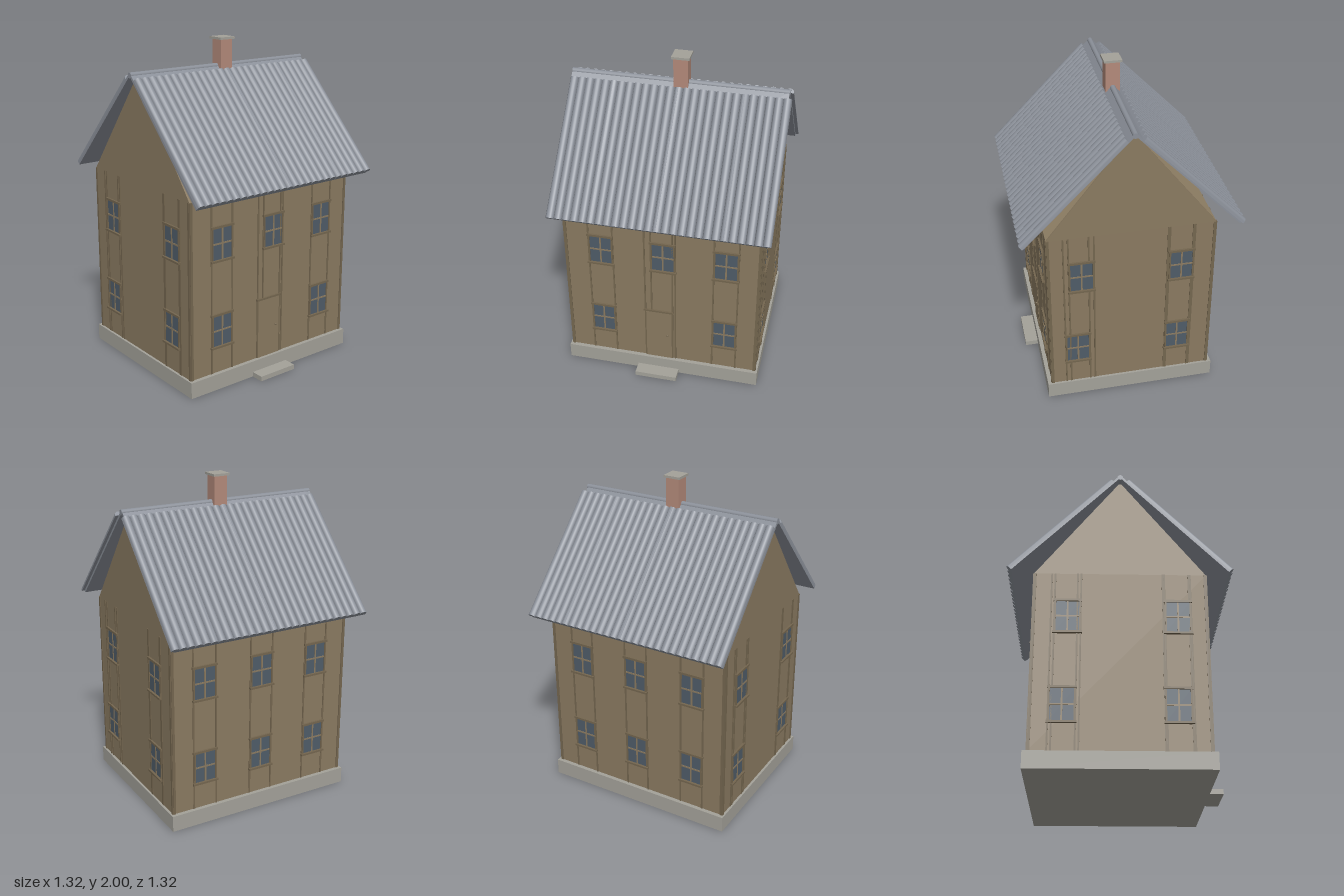
import * as THREE from 'three';
import { toCreasedNormals } from 'three/addons/utils/BufferGeometryUtils.js';

const mat = (name, color) => Object.assign(new THREE.MeshStandardMaterial({ color }), { name });
const M = {
  wall: mat('wall brown', 0x8a7a61),
  trim: mat('trim brown', 0x74664f),
  stone: mat('stone grey', 0xa3a199),
  roof: mat('roof grey', 0x8b9099),
  brick: mat('chimney brick', 0xb38a7a),
  glass: mat('window glass', 0x4f5c68),
};

function add(parent, name, geometry, material, x = 0, y = 0, z = 0) {
  const mesh = new THREE.Mesh(geometry, material);
  mesh.name = name;
  mesh.position.set(x, y, z);
  parent.add(mesh);
  return mesh;
}

// Box given by its minimum and maximum corners
function box(parent, name, material, [x0, y0, z0], [x1, y1, z1]) {
  return add(parent, name, new THREE.BoxGeometry(x1 - x0, y1 - y0, z1 - z0), material,
    (x0 + x1) / 2, (y0 + y1) / 2, (z0 + z1) / 2);
}

function group(parent, name) {
  const g = new THREE.Group();
  g.name = name;
  parent.add(g);
  return g;
}

// Four-pane window on a wall at local z = 0
function addWindow(parent, x, y) {
  const w = group(parent, 'window');
  w.position.set(x, y, 0);
  const hw = 0.075, h = 0.205, t = 0.009;
  box(w, 'glass', M.glass, [-hw, 0, 0], [hw, h, 0.004]);
  for (const s of [-1, 1]) {
    const a = s * hw, b = s * (hw - t);
    box(w, 'frameSide', M.trim, [Math.min(a, b), 0, 0], [Math.max(a, b), h, 0.009]);
  }
  box(w, 'frameTop', M.trim, [-hw - 0.007, h - t, 0], [hw + 0.007, h + 0.005, 0.012]);
  box(w, 'sill', M.trim, [-hw - 0.008, -0.006, 0], [hw + 0.008, 0.006, 0.018]);
  box(w, 'mullion', M.wall, [-0.005, 0, 0], [0.005, h, 0.007]);
  box(w, 'crossBar', M.wall, [-hw, h / 2 - 0.005, 0], [hw, h / 2 + 0.005, 0.007]);
}

// One wall face: upper and lower windows with upright battens along their edges
function addFacade(parent, name, x, z, angle, halfWidth, upper, lower, extra = []) {
  const f = group(parent, name);
  f.position.set(x, 0, z);
  f.rotation.y = angle;
  upper.forEach((u) => addWindow(f, u, 0.802));
  lower.forEach((u) => addWindow(f, u, 0.265));
  const edges = new Set(extra);
  [...upper, ...lower].forEach((u) => { edges.add(u - 0.075); edges.add(u + 0.075); });
  for (const e of edges) {
    // The batten over the doorway stops at the door head
    const bottom = name === 'frontFacade' && e > -0.1 && e < 0.06 ? 0.48 : 0.1;
    box(f, 'batten', M.trim, [e - 0.005, bottom, 0], [e + 0.005, 1.18, 0.004]);
  }
  for (const s of [-1, 1]) {
    const c = s * (halfWidth - 0.008);
    box(f, 'cornerBoard', M.trim, [c - 0.008, 0.1, 0], [c + 0.008, 1.18, 0.005]);
  }
  return f;
}

// Sheet with a scalloped top, extruded down the slope
function corrugatedSheet(width, count, height, length) {
  const r = width / count / 2, shape = new THREE.Shape();
  shape.moveTo(-width / 2, -0.004);
  shape.lineTo(width / 2, -0.004);
  for (let i = count - 1; i >= 0; i--) {
    const cx = -width / 2 + (2 * i + 1) * r;
    for (let k = 0; k <= 8; k++) {
      const a = (k / 8) * Math.PI;
      shape.lineTo(cx + r * Math.cos(a), height * Math.sin(a));
    }
  }
  const g = new THREE.ExtrudeGeometry(shape, { depth: length, bevelEnabled: false });
  return toCreasedNormals(g, 0.7);
}

export function createModel() {
  const house = new THREE.Group();
  house.name = 'house';

  // Plinth, doorstep and walls
  box(house, 'plinth', M.stone, [-0.625, 0, -0.525], [0.605, 0.1, 0.525]);
  box(house, 'doorstep', M.stone, [-0.165, 0, 0.52], [0.1, 0.03, 0.605]);
  box(house, 'walls', M.wall, [-0.61, 0.1, -0.5], [0.59, 1.18, 0.5]);

  // Thin gables, leaving the attic open under the eaves
  const tri = new THREE.Shape([[-0.5, 1.18], [0.5, 1.18], [0, 1.82]].map((p) => new THREE.Vector2(...p)));
  const gable = new THREE.ExtrudeGeometry(tri, { depth: 0.01, bevelEnabled: false });
  for (const x of [-0.61, 0.58]) add(house, 'gable', gable, M.wall, x).rotation.y = Math.PI / 2;

  // Facades
  const front = addFacade(house, 'frontFacade', -0.01, 0.5, 0, 0.6,
    [-0.375, 0.01, 0.395], [-0.375, 0.395], [-0.105, 0.067]);
  addFacade(house, 'backFacade', -0.01, -0.5, Math.PI, 0.6, [-0.385, 0, 0.385], [-0.385, 0, 0.385]);
  addFacade(house, 'leftFacade', 0.59, 0, Math.PI / 2, 0.5, [-0.3, 0.3], [-0.33, 0.29]);
  addFacade(house, 'rightFacade', -0.61, 0, -Math.PI / 2, 0.5, [-0.3, 0.33], [-0.32, 0.32]);

  // Door
  box(front, 'door', M.wall, [-0.1, 0.1, 0], [0.062, 0.475, 0.006]);
  box(front, 'doorHead', M.trim, [-0.115, 0.475, 0], [0.075, 0.487, 0.012]);
  add(front, 'doorKnob', new THREE.SphereGeometry(0.007, 10, 8), M.trim, 0.035, 0.29, 0.011);

  // Roof slopes: flat panel with a corrugated sheet on top
  const sheet = corrugatedSheet(1.315, 27, 0.024, 0.855);
  for (const s of [1, -1]) {
    const side = group(house, s > 0 ? 'frontRoof' : 'backRoof');
    side.position.y = 1.822;
    side.rotation.y = s > 0 ? 0 : Math.PI;
    const slope = group(side, 'slope');
    slope.rotation.x = THREE.MathUtils.degToRad(45.7);
    add(slope, 'roofPanel', new THREE.BoxGeometry(1.295, 0.014, 0.9), M.roof, -0.0125 * s, 0.007, 0.45);
    add(slope, 'corrugatedSheet', sheet, M.roof, -0.0025 * s, 0.018, 0.045);
  }
  add(house, 'ridgeCap', new THREE.CylinderGeometry(0.017, 0.017, 1.3, 12), M.roof, -0.01, 1.826, 0)
    .rotation.z = Math.PI / 2;

  // Chimney
  box(house, 'chimney', M.brick, [-0.038, 1.18, -0.042], [0.048, 1.988, 0.042]);
  box(house, 'chimneyCap', M.stone, [-0.049, 1.986, -0.054], [0.059, 2, 0.054]);
  return house;
}
